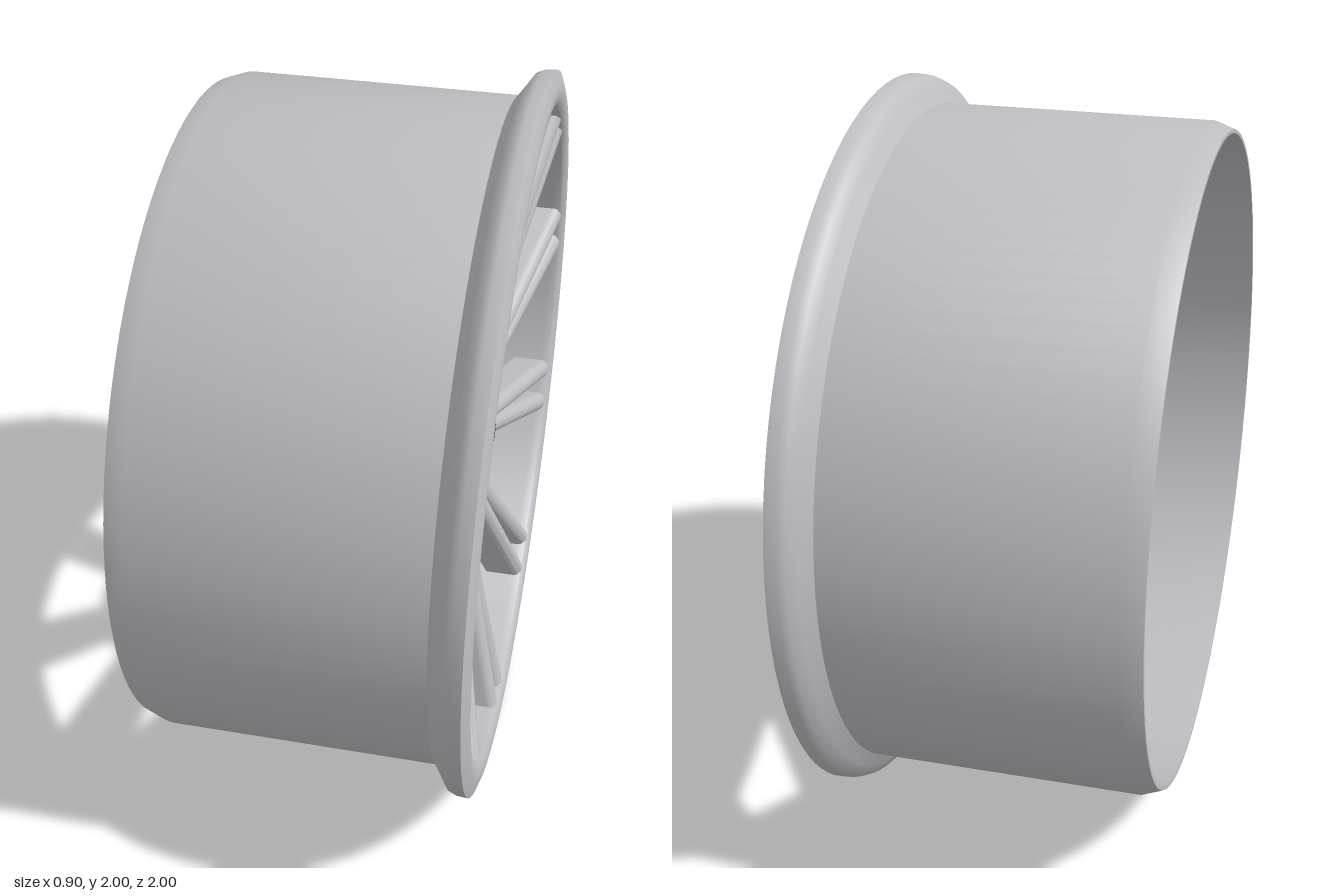
import * as THREE from 'three';
import { toCreasedNormals } from 'three/addons/utils/BufferGeometryUtils.js';

const silver = new THREE.MeshStandardMaterial({ color: 0xbebec3, side: THREE.DoubleSide });
silver.name = 'silver';
const black = new THREE.MeshStandardMaterial({ color: 0x242424 });
black.name = 'black';

// Revolves [axial position, radius] pairs around the wheel axis (+x)
function revolve(name, profile, segments, material, crease = 0.5) {
  const points = profile.map(([x, r]) => new THREE.Vector2(r, x));
  const geometry = new THREE.LatheGeometry(points, segments);
  geometry.rotateZ(-Math.PI / 2);
  const mesh = new THREE.Mesh(toCreasedNormals(geometry, crease), material);
  mesh.name = name;
  return mesh;
}

// Point on the wheel: axial position, radius and angle seen from the face
function polar(x, r, degrees) {
  const a = THREE.MathUtils.degToRad(degrees);
  return new THREE.Vector3(x, r * Math.sin(a), -r * Math.cos(a));
}

// Spoke section: flat back, rounded front
function spokeSection() {
  const w = 0.03, d = 0.055;
  const shape = new THREE.Shape();
  shape.moveTo(-w, -d);
  shape.lineTo(w, -d);
  shape.lineTo(w, d - w);
  shape.absarc(0, d - w, w, 0, Math.PI, false);
  shape.lineTo(-w, -d);
  return shape;
}

function makeSpoke(from, to) {
  const along = to.clone().sub(from);
  const length = along.length();
  along.normalize();
  const front = new THREE.Vector3(1, 0, 0).addScaledVector(along, -along.x).normalize();
  const across = new THREE.Vector3().crossVectors(front, along);
  const geometry = new THREE.ExtrudeGeometry(spokeSection(), {
    depth: length, bevelEnabled: false, curveSegments: 8,
  });
  geometry.applyMatrix4(new THREE.Matrix4().makeBasis(across, front, along).setPosition(from));
  const mesh = new THREE.Mesh(toCreasedNormals(geometry, 0.6), silver);
  mesh.name = 'spoke';
  return mesh;
}

export function createModel() {
  const model = new THREE.Group();
  model.name = 'wheel';
  const wheel = new THREE.Group();
  wheel.name = 'wheelAssembly';
  wheel.position.y = 1;
  model.add(wheel);

  // Barrel with a flared, rounded front lip
  wheel.add(revolve('rim', [
    [-0.455, 0.895], [-0.455, 0.905], [-0.4, 0.925], [0.34, 0.925],
    [0.365, 0.96], [0.385, 0.99], [0.405, 0.998], [0.435, 1.0],
    [0.447, 0.965], [0.45, 0.945], [0.447, 0.92], [0.435, 0.905],
    [0.41, 0.9], [-0.455, 0.895],
  ], 96, silver, 0.7));

  // Hollow hub
  wheel.add(revolve('hub', [
    [0.13, 0.285], [0.13, 0.3], [0.17, 0.296], [0.22, 0.275],
    [0.26, 0.245], [0.28, 0.215], [0.285, 0],
  ], 64, silver, 0.6));

  // Centre cap
  wheel.add(revolve('centreCap', [
    [0.27, 0.125], [0.315, 0.125], [0.325, 0.117], [0.342, 0.1],
    [0.355, 0.075], [0.364, 0.04], [0.367, 0],
  ], 48, black, 0.7));

  // Ten swept pairs of spokes
  for (let i = 0; i < 10; i++) {
    const angle = i * 36;
    const pair = new THREE.Group();
    pair.name = 'spokePair';
    for (const [inner, outer] of [[4.5, 13.9], [-2.5, 6.9]]) {
      pair.add(makeSpoke(polar(0.25, 0.235, angle + inner), polar(0.385, 0.91, angle + outer)));
    }
    wheel.add(pair);
  }

  // Five wheel bolts
  for (let i = 0; i < 5; i++) {
    const bolt = revolve('bolt', [
      [-0.04, 0.034], [0.018, 0.034], [0.03, 0.024], [0.034, 0],
    ], 10, black, 0.7);
    bolt.position.copy(polar(0.305, 0.2, i * 72));
    wheel.add(bolt);
  }

  return model;
}
